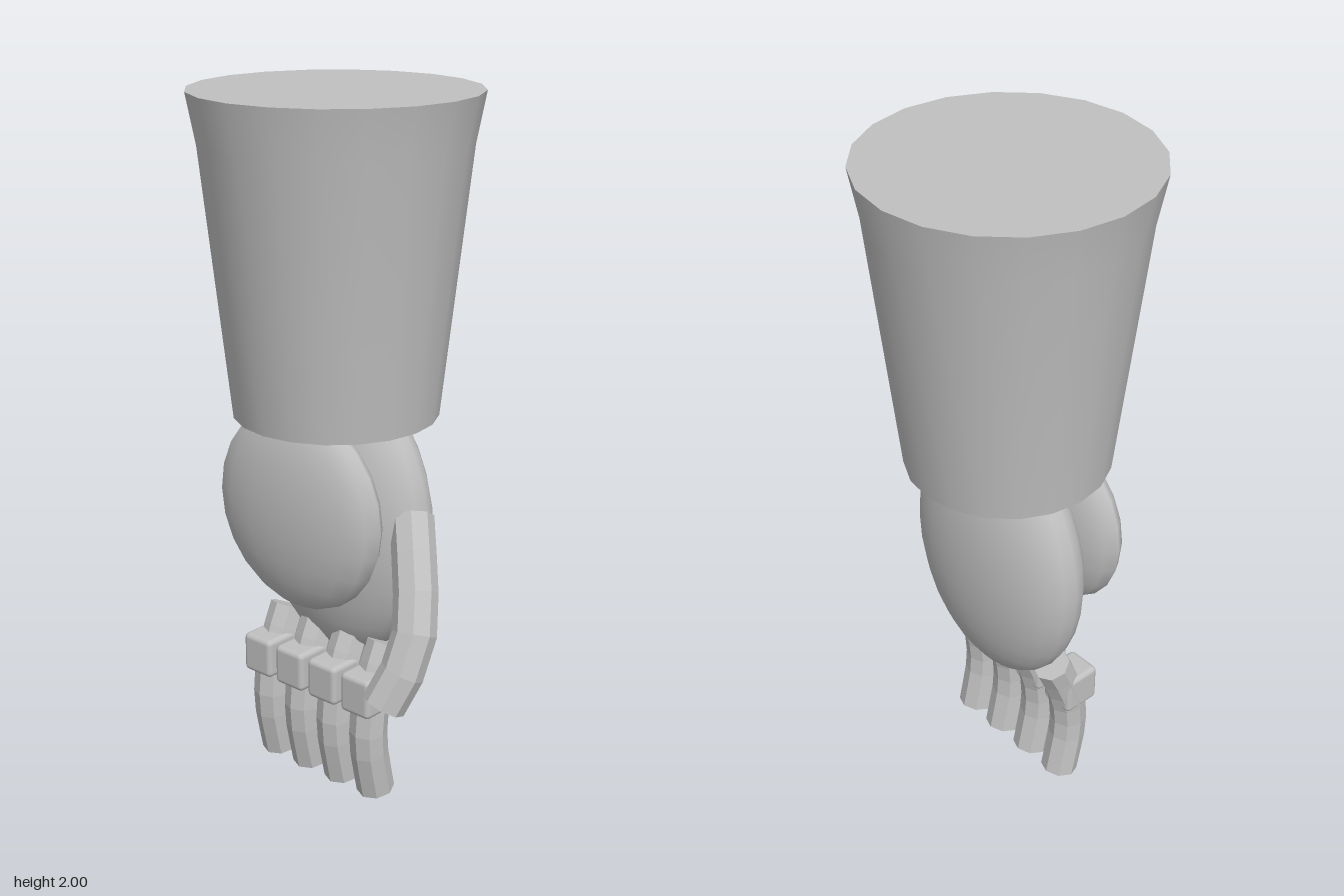
import * as THREE from 'three';
import { toCreasedNormals } from 'three/addons/utils/BufferGeometryUtils.js';
import { RoundedBoxGeometry } from 'three/addons/geometries/RoundedBoxGeometry.js';

const grey = new THREE.MeshStandardMaterial({ color: 0xc0c0c0 });
grey.name = 'light grey';

const CENTRE_X = -0.03;

function addPart(parent, name, geometry, x = 0, y = 0, z = 0) {
  const mesh = new THREE.Mesh(geometry, grey);
  mesh.name = name;
  mesh.position.set(x, y, z);
  parent.add(mesh);
  return mesh;
}

// Faceted eight-sided tube along a curve, closed with flat ends
function facetedTube(points, radius, segments) {
  const sides = 8;
  const curve = new THREE.CatmullRomCurve3(points.map(p => new THREE.Vector3(...p)));
  const tube = new THREE.TubeGeometry(curve, segments, radius, sides);
  const index = Array.from(tube.index.array);
  const last = segments * (sides + 1);
  for (let j = 1; j < sides - 1; j++) {
    index.push(0, j, j + 1);
    index.push(last, last + j + 1, last + j);
  }
  tube.setIndex(index);
  const flat = tube.toNonIndexed();
  flat.computeVertexNormals();
  return flat;
}

export function createModel() {
  const model = new THREE.Group();
  model.name = 'roboticArm';

  // Tapered forearm, flaring a little more near the top
  const profile = [[0, 1.11], [0.288, 1.11], [0.37, 1.86], [0.397, 2], [0, 2]]
    .map(([r, y]) => new THREE.Vector2(r, y));
  addPart(model, 'forearm', toCreasedNormals(new THREE.LatheGeometry(profile, 20), 0.6), CENTRE_X);

  // Palm and the rounded plate on its front
  addPart(model, 'palm', new THREE.SphereGeometry(1, 24, 16), CENTRE_X, 0.8, -0.03)
    .scale.set(0.315, 0.42, 0.14);
  addPart(model, 'handPlate', new THREE.SphereGeometry(1, 16, 12), CENTRE_X, 0.865, 0.15)
    .scale.set(0.297, 0.295, 0.09);

  // Four curved fingers with knuckle guards
  const fingerGeometry = facetedTube(
    [[0, 0.46, 0], [0, 0.36, 0.045], [0, 0.27, 0.07], [0, 0.17, 0.074], [0, 0.01, 0.042]], 0.055, 7);
  const knuckleGeometry = new RoundedBoxGeometry(0.108, 0.12, 0.12, 2, 0.016);
  for (let i = 0; i < 4; i++) {
    const finger = new THREE.Group();
    finger.name = 'finger' + (i + 1);
    finger.position.x = CENTRE_X + (i - 1.5) * 0.128;
    addPart(finger, 'fingerTube', fingerGeometry);
    addPart(finger, 'knuckleGuard', knuckleGeometry, 0, 0.34, 0.08);
    model.add(finger);
  }

  // Thumb bending outward and forward
  addPart(model, 'thumb', facetedTube(
    [[0.235, 0.86, -0.018], [0.30, 0.74, 0.045], [0.355, 0.61, 0.105], [0.36, 0.52, 0.145], [0.325, 0.397, 0.2]],
    0.062, 5));

  return model;
}
